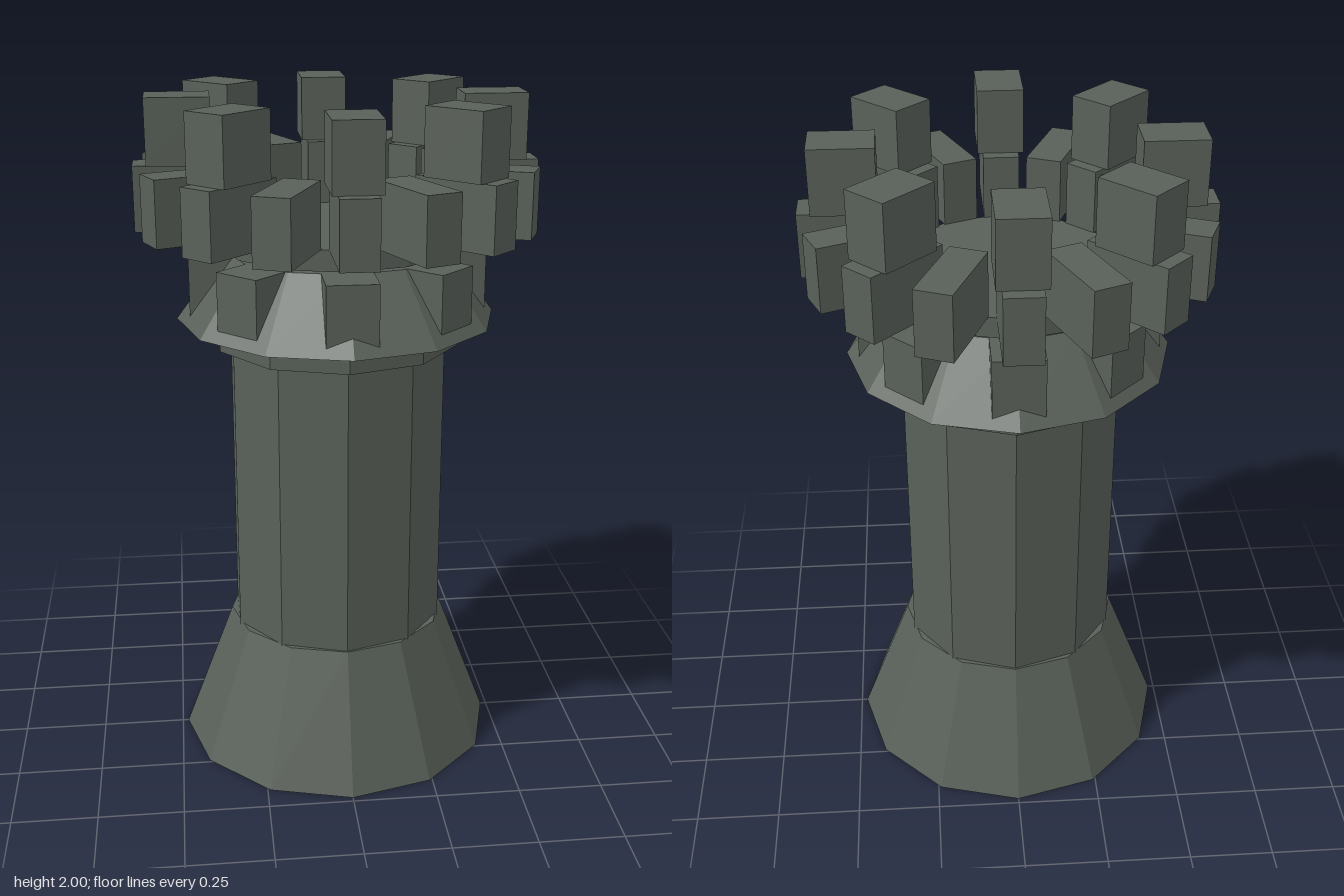
import * as THREE from 'three';

export function createModel() {
  const tower = new THREE.Group();
  tower.name = 'tower';
  const stone = new THREE.MeshStandardMaterial({ color: 0x596059, flatShading: true });
  stone.name = 'dark grey stone';

  // Faceted drum or cone between two heights
  function drum(name, sides, rBottom, rTop, y0, y1) {
    const mesh = new THREE.Mesh(new THREE.CylinderGeometry(rTop, rBottom, y1 - y0, sides), stone);
    mesh.name = name;
    mesh.position.y = (y0 + y1) / 2;
    tower.add(mesh);
  }

  // Ring of radial blocks
  function blockRing(name, count, rIn, rOut, width, y0, y1) {
    const ring = new THREE.Group();
    ring.name = name + 's';
    const geo = new THREE.BoxGeometry(width, y1 - y0, rOut - rIn);
    geo.translate(0, (y0 + y1) / 2, (rIn + rOut) / 2);
    for (let i = 0; i < count; i++) {
      const block = new THREE.Mesh(geo, stone);
      block.name = name;
      block.rotation.y = (i / count) * Math.PI * 2;
      ring.add(block);
    }
    tower.add(ring);
  }

  // Body
  drum('base', 12, 0.483, 0.33, 0, 0.405);
  drum('shaft', 10, 0.325, 0.325, 0.36, 1.29);
  drum('collar', 10, 0.365, 0.365, 1.285, 1.36);
  drum('flare', 12, 0.468, 0.32, 1.357, 1.555);
  drum('platform', 12, 0.335, 0.335, 1.565, 1.625);

  // Battlements
  blockRing('corbel', 8, 0.28, 0.43, 0.145, 1.37, 1.555);
  blockRing('parapetBlock', 16, 0.318, 0.576, 0.105, 1.625, 1.812);
  blockRing('merlon', 8, 0.355, 0.537, 0.135, 1.812, 2);

  return tower;
}
